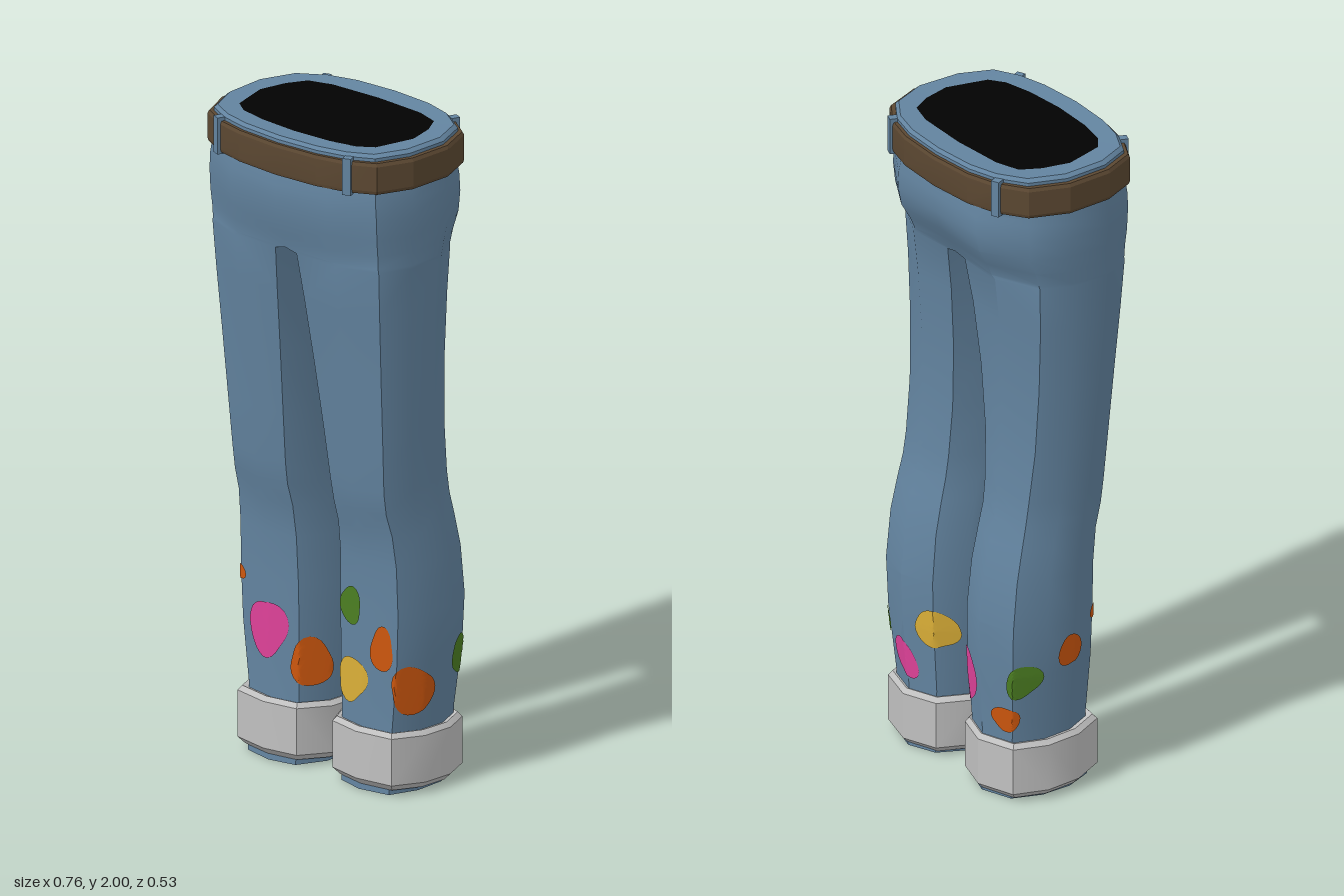
import * as THREE from 'three';
import { toCreasedNormals } from 'three/addons/utils/BufferGeometryUtils.js';

const colour = (name, hex, side = THREE.FrontSide) => {
  const m = new THREE.MeshStandardMaterial({ color: hex, side });
  m.name = name;
  return m;
};

// Ten-sided leg section, starting at mid front and running round the outer side.
function section(y, xi, xo, zf, zb) {
  const { clamp, lerp } = THREE.MathUtils;
  const w = xo - xi, d = zf - zb, m = (xi + xo) / 2;
  const h = clamp((y - 0.9) / 0.9, 0, 1);
  const joined = xi === 0;
  const co = 0.13 * w, ci = joined ? 0 : co * (1 - h) + 0.01;
  const f = zf - (0.06 + 0.06 * h) * d, b = zb + (0.1 + 0.07 * h) * d;
  // Inner corners flatten out towards the crotch and meet at the centre seam.
  const seam = clamp((y - 1.64) / 0.2, 0, 1);
  const fi = lerp(zf - 0.06 * (1 - h) * d, zf + 0.008, seam);
  const bi = lerp(zb + 0.1 * (1 - h) * d, zb - 0.005, seam);
  const s1 = zf - 0.33 * d, s2 = zb + 0.37 * d;
  return [
    [m, zf], [xo - co, f], [xo, s1], [xo, s2], [xo - co, b],
    [m, zb], [xi + ci, bi], [xi, s2], [xi, s1], [xi + ci, fi],
  ].map(([x, z]) => new THREE.Vector3(x, y, z));
}

// Skin a stack of equal-length rings.
function loft(rings, { mirror = false, closed = false, crease = 0.6 } = {}) {
  const n = rings[0].length, pos = [], idx = [];
  for (const r of rings) for (const p of r) pos.push(mirror ? -p.x : p.x, p.y, p.z);
  const quads = closed ? rings.length : rings.length - 1;
  for (let i = 0; i < quads; i++) for (let j = 0; j < n; j++) {
    const k = (i + 1) % rings.length, l = (j + 1) % n;
    const a = i * n + j, b = i * n + l, c = k * n + l, d = k * n + j;
    if (mirror) idx.push(a, c, b, a, d, c);
    else idx.push(a, b, c, a, c, d);
  }
  const g = new THREE.BufferGeometry();
  g.setAttribute('position', new THREE.Float32BufferAttribute(pos, 3));
  g.setIndex(idx);
  return toCreasedNormals(g, crease);
}

// Leg rows: height, inner x, outer x, front z, back z
const legRows = [
  [0, 0.045, 0.308, 0.098, -0.226],
  [0.2, 0.038, 0.314, 0.088, -0.224],
  [0.4, 0.031, 0.339, 0.092, -0.239],
  [0.55, 0.031, 0.346, 0.094, -0.243],
  [0.7, 0.036, 0.343, 0.098, -0.227],
  [0.8, 0.04, 0.337, 0.11, -0.205],
  [0.87, 0.042, 0.332, 0.131, -0.189],
  [0.94, 0.041, 0.332, 0.142, -0.179],
  [1.1, 0.038, 0.34, 0.158, -0.165],
  [1.3, 0.033, 0.35, 0.18, -0.165],
  [1.5, 0.028, 0.361, 0.204, -0.177],
  [1.64, 0.023, 0.368, 0.221, -0.193],
  [1.65, 0, 0.369, 0.222, -0.196],
  [1.69, 0, 0.37, 0.228, -0.213],
  [1.74, 0, 0.372, 0.24, -0.243],
  [1.8, 0, 0.373, 0.247, -0.255],
  [1.85, 0, 0.37, 0.248, -0.254],
  [1.9, 0, 0.363, 0.241, -0.245],
];
const legRings = legRows.map((r) => section(...r));

// Point on the leg at height y, s along the girth from mid front, lifted slightly.
function onLeg(y, s) {
  let i = 0;
  while (i < legRows.length - 2 && legRows[i + 1][0] < y) i++;
  const t = (y - legRows[i][0]) / (legRows[i + 1][0] - legRows[i][0]);
  const ring = legRings[i].map((p, j) => p.clone().lerp(legRings[i + 1][j], t));
  const len = ring.map((p, j) => p.distanceTo(ring[(j + 1) % ring.length]));
  const girth = len.reduce((a, b) => a + b, 0);
  const centre = ring.reduce((a, p) => a.add(p), new THREE.Vector3()).divideScalar(ring.length);
  s = ((s % girth) + girth) % girth;
  let j = 0;
  while (j < len.length - 1 && s > len[j]) s -= len[j++];
  const p = ring[j].clone().lerp(ring[(j + 1) % ring.length], s / len[j]);
  return p.addScaledVector(p.clone().sub(centre).normalize(), 0.004);
}

// Irregular paint blob wrapped on the leg.
function splotch(s, y, rs, ry, mirror) {
  const N = 28, R = 8, phase = s * 17 + y * 23, rings = [];
  for (let i = R; i >= 0; i--) {
    rings.push(Array.from({ length: N }, (_, k) => {
      const a = (k / N) * Math.PI * 2;
      const r = (i / R) * (1 + 0.09 * Math.sin(2 * a + phase) + 0.08 * Math.sin(3 * a + phase * 2));
      return onLeg(y + Math.sin(a) * ry * r, s + Math.cos(a) * rs * r);
    }));
  }
  return loft(rings, { mirror, crease: 0.5 });
}

// Horizontal outlines, given by the +x half from front to back
const outline = (front, half, back) => [
  [0, front], ...half, [0, back], ...half.slice().reverse().map(([x, z]) => [-x, z]),
];
const ringAt = (pts, y, s) => pts.map(([x, z]) => new THREE.Vector3(x * s, y, z * s));
const waist = outline(0.265, [
  [0.15, 0.255], [0.25, 0.232], [0.33, 0.19], [0.375, 0.085],
  [0.38, -0.06], [0.335, -0.175], [0.25, -0.232], [0.15, -0.26],
], -0.27);
const opening = outline(0.184, [
  [0.13, 0.176], [0.22, 0.157], [0.265, 0.125], [0.28, 0.07],
  [0.298, 0], [0.278, -0.085], [0.245, -0.145], [0.17, -0.169],
], -0.178);

export function createModel() {
  const model = new THREE.Group();
  model.name = 'trousers';
  const denim = colour('denim', 0x6384a0, THREE.DoubleSide);
  const cuffCloth = colour('cuffCloth', 0xc0c0c0);
  const leather = colour('leather', 0x5c4832);
  const dark = colour('darkOpening', 0x020202);
  const pink = colour('pinkPaint', 0xe0429a);
  const orange = colour('orangePaint', 0xd0580e);
  const green = colour('greenPaint', 0x4c7f22);
  const yellow = colour('yellowPaint', 0xdcb038);

  const add = (name, geometry, material, parent = model) => {
    const m = new THREE.Mesh(geometry, material);
    m.name = name;
    parent.add(m);
    return m;
  };

  // Paint blobs: girth position, height, half width, half height, colour
  const paint = {
    left: [
      [-0.055, 0.55, 0.05, 0.055, green], [0.065, 0.44, 0.04, 0.064, orange],
      [-0.045, 0.325, 0.06, 0.072, yellow], [0.168, 0.315, 0.075, 0.072, orange],
      [0.37, 0.375, 0.05, 0.066, green], [0.49, 0.28, 0.052, 0.062, pink],
      [0.642, 0.4, 0.065, 0.064, yellow], [-0.19, 0.29, 0.05, 0.045, pink],
    ],
    right: [
      [0.005, 0.4, 0.072, 0.087, pink], [0.115, 0.54, 0.022, 0.025, orange],
      [-0.137, 0.31, 0.07, 0.07, orange], [0.23, 0.46, 0.042, 0.052, orange],
      [0.378, 0.385, 0.052, 0.056, green], [0.412, 0.255, 0.047, 0.04, orange],
      [0.62, 0.33, 0.08, 0.085, pink],
    ],
  };

  for (const side of ['left', 'right']) {
    const mirror = side === 'right';
    const leg = new THREE.Group();
    leg.name = side + 'Side';
    model.add(leg);
    add(side + 'Leg', loft(legRings, { mirror }), denim, leg);

    // Panel closing the leg a little way up inside the hem
    const rim = section(0.06, 0.043, 0.309, 0.095, -0.225);
    const middle = rim.map(() => new THREE.Vector3(0.176, 0.06, -0.065));
    add(side + 'HemPanel', loft([middle, rim], { mirror }), denim, leg);

    // Turned-up cuff: height, inset; hangs slightly lower at the back
    const cuff = [[0.03, 0.04], [0.014, 0.02], [0.035, 0], [0.178, 0], [0.192, 0.012], [0.18, 0.045]]
      .map(([y, i]) => section(y, 0.017 + i, 0.342 - i, 0.117 - i, -0.242 + i));
    cuff.flat().forEach((p) => { p.y += p.z * 0.04; });
    add(side + 'Cuff', loft(cuff, { mirror }), cuffCloth, leg);

    paint[side].forEach(([s, y, rs, ry, mat], i) =>
      add(`${side}PaintSpot${i + 1}`, splotch(s, y, rs, ry, mirror), mat, leg));
  }

  // Waistband, its dark opening and the belt
  const band = [[1.87, 0.95], [1.99, 0.95], [2, 0.92]].map(([y, s]) => ringAt(waist, y, s));
  add('waistband', loft([...band, ringAt(opening, 1.997, 0.99)]), denim);
  add('waistOpening', loft([ringAt(opening, 1.998, 1), ringAt(opening, 1.998, 0)]), dark);
  const belt = [[1.885, 0.99], [1.895, 1], [1.97, 1], [1.98, 0.985], [1.98, 0.93], [1.885, 0.93]];
  add('belt', loft(belt.map(([y, s]) => ringAt(waist, y, s)), { closed: true, crease: 0.3 }), leather);

  // Belt loops
  for (const sx of [1, -1]) for (const sz of [1, -1]) {
    const strap = add('beltLoop', new THREE.BoxGeometry(0.026, 0.112, 0.034), denim);
    strap.position.set(sx * 0.248, 1.935, sz * 0.222);
    strap.rotation.y = sx * sz * 0.38;
  }
  return model;
}
